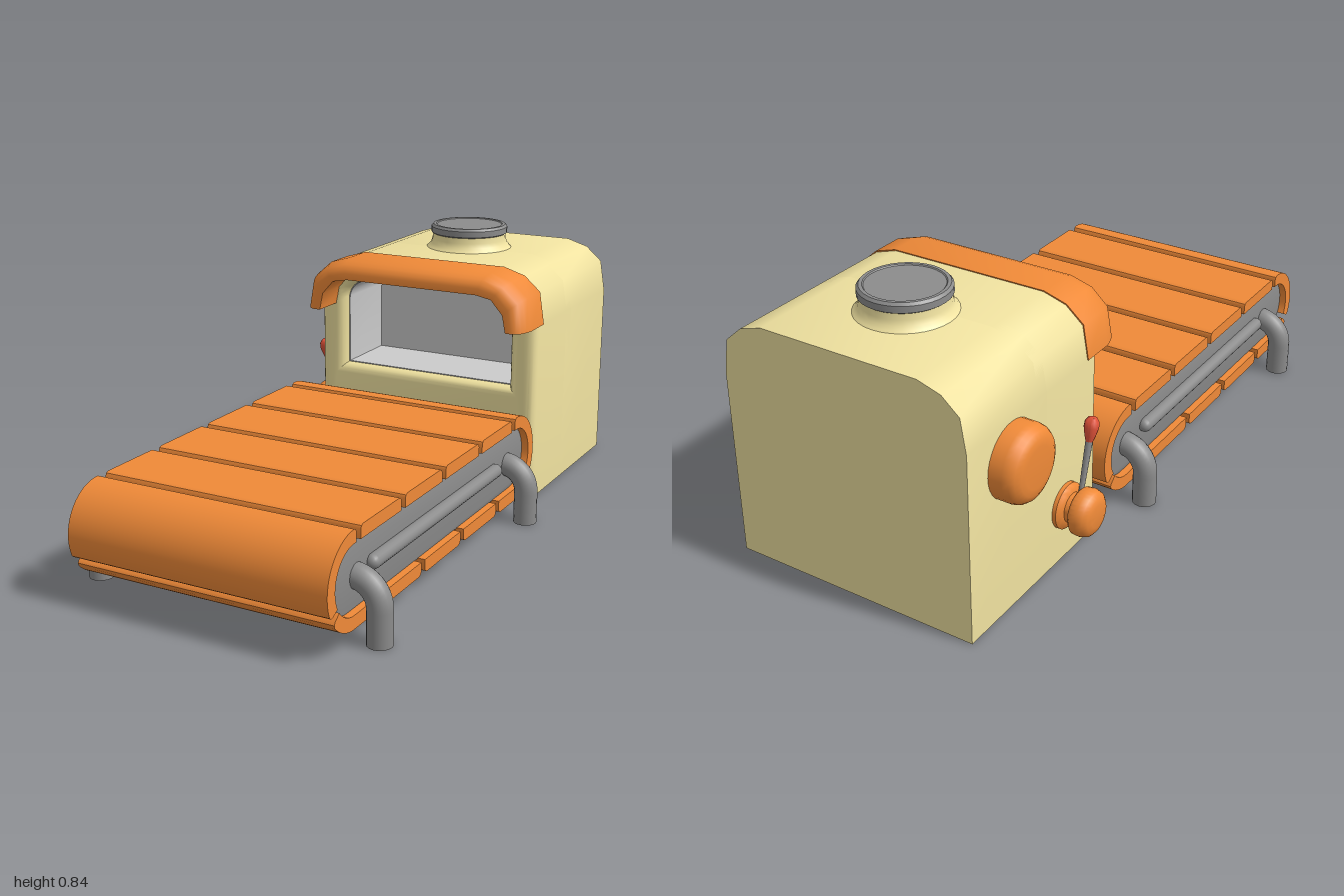
import * as THREE from 'three';
import { toCreasedNormals } from 'three/addons/utils/BufferGeometryUtils.js';

const mat = (color) => new THREE.MeshStandardMaterial({ color });
const orange = mat(0xf08a38), cream = mat(0xf0e2a0), red = mat(0xe0523a);
const steel = mat(0x8c8c8c), grey = mat(0xcccccc);
const V2 = (x, y) => new THREE.Vector2(x, y);

// Right half of the arched outline of the body, and of the inside of the hood
const outerArch = [[0.4, 0.587], [0.383, 0.69], [0.328, 0.738], [0.255, 0.76]];
const innerArch = [[0.34, 0.587], [0.328, 0.645], [0.288, 0.69], [0.235, 0.7]];
const mirrored = (half) => [...half, ...half.map(([x, y]) => [-x, y]).reverse()];

export function createModel() {
  const model = new THREE.Group();
  const root = new THREE.Group();
  root.position.x = 0.0075;
  model.add(root);

  const add = (name, geometry, material, x = 0, y = 0, z = 0) => {
    const mesh = new THREE.Mesh(geometry, material);
    mesh.name = name;
    mesh.position.set(x, y, z);
    root.add(mesh);
    return mesh;
  };
  const lathe = (pts, segments = 32) =>
    toCreasedNormals(new THREE.LatheGeometry(pts.map(([r, y]) => V2(r, y)), segments), 0.7);

  // Body: solid rear block and a hollow front block with a bevelled window
  const bodyShape = () => new THREE.Shape(
    [[0.4, 0], ...mirrored(outerArch), [-0.4, 0]].map(([x, y]) => V2(x, y)));
  const windowPath = (d, Type) => {
    const w = 0.3075 + d, b = 0.375 - d, t = 0.67 + d, r = 0.07 + d;
    const p = new Type();
    p.moveTo(-w, b);
    p.lineTo(w, b);
    p.lineTo(w, t - r);
    p.absarc(w - r, t - r, r, 0, Math.PI / 2);
    p.lineTo(-w + r, t);
    p.absarc(-w + r, t - r, r, Math.PI / 2, Math.PI);
    p.closePath();
    return p;
  };
  const rear = new THREE.ExtrudeGeometry(bodyShape(), { depth: 0.37, bevelEnabled: false });
  add('bodyRear', toCreasedNormals(rear, 0.8), cream, 0, 0, -1);

  const frontShape = bodyShape();
  frontShape.holes.push(windowPath(0, THREE.Path));
  const bevel = 0.03;
  const front = new THREE.ExtrudeGeometry(frontShape, {
    depth: 0.28, bevelThickness: bevel, bevelSize: bevel, bevelOffset: -bevel, bevelSegments: 4, curveSegments: 6,
  });
  add('bodyFront', toCreasedNormals(front, 0.8), cream, 0, 0, -0.67);

  // Chamber lining behind the window
  const liningShape = windowPath(0.012, THREE.Shape);
  liningShape.holes.push(windowPath(-0.003, THREE.Path));
  const lining = new THREE.ExtrudeGeometry(liningShape, { depth: 0.235, bevelEnabled: false, curveSegments: 6 });
  add('chamberLining', toCreasedNormals(lining, 0.8), grey, 0, 0, -0.63);
  add('chamberBack', new THREE.ShapeGeometry(windowPath(0.005, THREE.Shape)), grey, 0, 0, -0.626);

  add('hood', hoodGeometry(), orange);

  // Chimney
  add('chimneyBase', lathe([[0.15, 0.757], [0.142, 0.765], [0.133, 0.775], [0.128, 0.79], [0.126, 0.812]]),
    cream, 0, 0, -0.705);
  add('chimneyCap', lathe([[0.126, 0.808], [0.132, 0.812], [0.132, 0.832], [0.125, 0.84], [0.115, 0.84],
    [0.112, 0.837], [0, 0.837]]), steel, 0, 0, -0.705);

  // Conveyor core
  const coreShape = new THREE.Shape();
  coreShape.absarc(0.86, 0.195, 0.104, -Math.PI / 2, Math.PI / 2);
  coreShape.absarc(-0.195, 0.195, 0.104, Math.PI / 2, Math.PI * 1.5);
  add('conveyorCore', alongX(coreShape, 0.78, 0.005), steel);

  // Conveyor slats, each between two gaps along the loop
  const r = 0.14, arc = Math.PI * r, run = 1.055;
  const onTop = (z) => 2 * arc + run + (z + 0.195);
  const onBottom = (z) => arc + 0.86 - z;
  const gaps = [0.3, ...[0.727, 0.463, 0.205, -0.055].map(onBottom), arc + run + 0.132,
    ...[-0.1675, 0.0825, 0.335, 0.5875, 0.8375].map(onTop)];
  const total = 2 * (arc + run);
  const loopPoint = (s, depth) => {
    s = (s + total) % total;
    const k = r - depth;
    if (s < arc) return V2(0.86 + Math.sin(s / r) * k, 0.195 + Math.cos(s / r) * k);
    if (s < arc + run) return V2(0.86 - (s - arc), 0.195 - k);
    s -= arc + run;
    if (s < arc) return V2(-0.195 - Math.sin(s / r) * k, 0.195 - Math.cos(s / r) * k);
    return V2(-0.195 + (s - arc), 0.195 + k);
  };
  gaps.forEach((gap, i) => {
    const a = gap + 0.011;
    const b = (i + 1 < gaps.length ? gaps[i + 1] : gaps[0] + total) - 0.011;
    const outer = [], inner = [], n = 20;
    for (let j = 0; j <= n; j++) {
      const s = a + (b - a) * j / n;
      // Round the outer edge towards each gap
      outer.push(loopPoint(s, j === 0 || j === n ? 0.012 : 0));
      if (j === 0) outer.push(loopPoint(a + 0.004, 0.004), loopPoint(a + 0.012, 0));
      if (j === n - 1) outer.push(loopPoint(b - 0.012, 0), loopPoint(b - 0.004, 0.004));
      inner.unshift(loopPoint(s, 0.04));
    }
    add('conveyorSlat', alongX(new THREE.Shape([...outer, ...inner]), 0.825, 0), orange);
  });

  // Side rails and bent legs
  for (const side of [-1, 1]) {
    const rail = new THREE.CapsuleGeometry(0.022, 0.796, 6, 16).rotateX(Math.PI / 2);
    add('sideRail', rail, steel, side * 0.398, 0.195, 0.335);
    for (const z of [-0.17, 0.81]) {
      const path = new THREE.CurvePath();
      const v = (x, y) => new THREE.Vector3(side * x, y, z);
      path.add(new THREE.LineCurve3(v(0.33, 0.183), v(0.38, 0.183)));
      path.add(new THREE.CubicBezierCurve3(v(0.38, 0.183), v(0.424, 0.183), v(0.46, 0.149), v(0.46, 0.103)));
      path.add(new THREE.LineCurve3(v(0.46, 0.103), v(0.46, 0)));
      add('leg', new THREE.TubeGeometry(path, 28, 0.037, 16), steel);
      add('legFoot', new THREE.CircleGeometry(0.037, 16).rotateX(Math.PI / 2), steel, side * 0.46, 0, z);
    }
  }

  // Round knob and hand wheel on the right wall
  const sideLathe = (pts) => lathe(pts).rotateZ(Math.PI / 2);
  add('sideKnob', sideLathe([[0.112, -0.01], [0.112, 0.04], [0.108, 0.058], [0.098, 0.072], [0.08, 0.081],
    [0.06, 0.083], [0, 0.083]]), orange, -0.4, 0.472, -0.8);
  add('handWheel', sideLathe([[0.07, -0.01], [0.07, 0.012], [0.062, 0.02], [0.045, 0.024], [0.045, 0.042],
    [0.062, 0.045], [0.07, 0.053], [0.072, 0.075], [0.066, 0.094], [0.052, 0.105], [0.035, 0.109], [0, 0.109]]),
  orange, -0.4, 0.175, -0.535);

  // Leaning lever with a pear-shaped grip
  const lever = new THREE.Group();
  lever.name = 'lever';
  lever.position.set(-0.433, 0.2, -0.505);
  lever.rotation.x = 0.27;
  const stem = new THREE.Mesh(new THREE.CylinderGeometry(0.011, 0.007, 0.19, 12), steel);
  stem.name = 'leverStem';
  stem.position.y = 0.085;
  const grip = new THREE.Mesh(lathe([[0, 0.155], [0.009, 0.158], [0.016, 0.18], [0.022, 0.205], [0.021, 0.222],
    [0.013, 0.234], [0, 0.238]], 16), red);
  grip.name = 'leverGrip';
  lever.add(stem, grip);
  root.add(lever);

  return model;
}

// Extrudes a (z, y) outline across the width, centred on x = 0
function alongX(shape, width, bevel) {
  const g = new THREE.ExtrudeGeometry(shape, {
    depth: width - 2 * bevel, bevelEnabled: bevel > 0, bevelThickness: bevel, bevelSize: bevel,
    bevelOffset: -bevel, bevelSegments: 2, curveSegments: 20,
  });
  g.translate(0, 0, bevel - width / 2).rotateY(-Math.PI / 2);
  return toCreasedNormals(g, 0.6);
}

// Sweeps a section with a rounded front edge along the arch
function hoodGeometry() {
  const outer = mirrored(outerArch), inner = mirrored(innerArch);
  const section = [[0, -0.42], [0, -0.315], [0.06, -0.288], [0.2, -0.266], [0.42, -0.253], [0.65, -0.248],
    [1, -0.248], [1, -0.42]];
  const n = section.length, positions = [], index = [];
  outer.forEach(([ox, oy], i) => {
    const [ix, iy] = inner[i];
    for (const [t, z] of section) {
      // The outer skin sits a hair outside the body
      const grow = t === 0 ? 0.003 : 0;
      positions.push(ox + (ix - ox) * t + Math.sign(ox) * grow, oy + (iy - oy) * t + (i % 7 ? grow : 0), z);
    }
  });
  for (let i = 0; i < outer.length - 1; i++) {
    for (let j = 0; j < n; j++) {
      const a = i * n + j, b = i * n + (j + 1) % n;
      index.push(a, a + n, b, b, a + n, b + n);
    }
  }
  const last = (outer.length - 1) * n;
  for (let j = 1; j < n - 1; j++) index.push(0, j, j + 1, last, last + j + 1, last + j);
  const g = new THREE.BufferGeometry();
  g.setAttribute('position', new THREE.Float32BufferAttribute(positions, 3));
  g.setIndex(index);
  return toCreasedNormals(g, 0.9);
}
